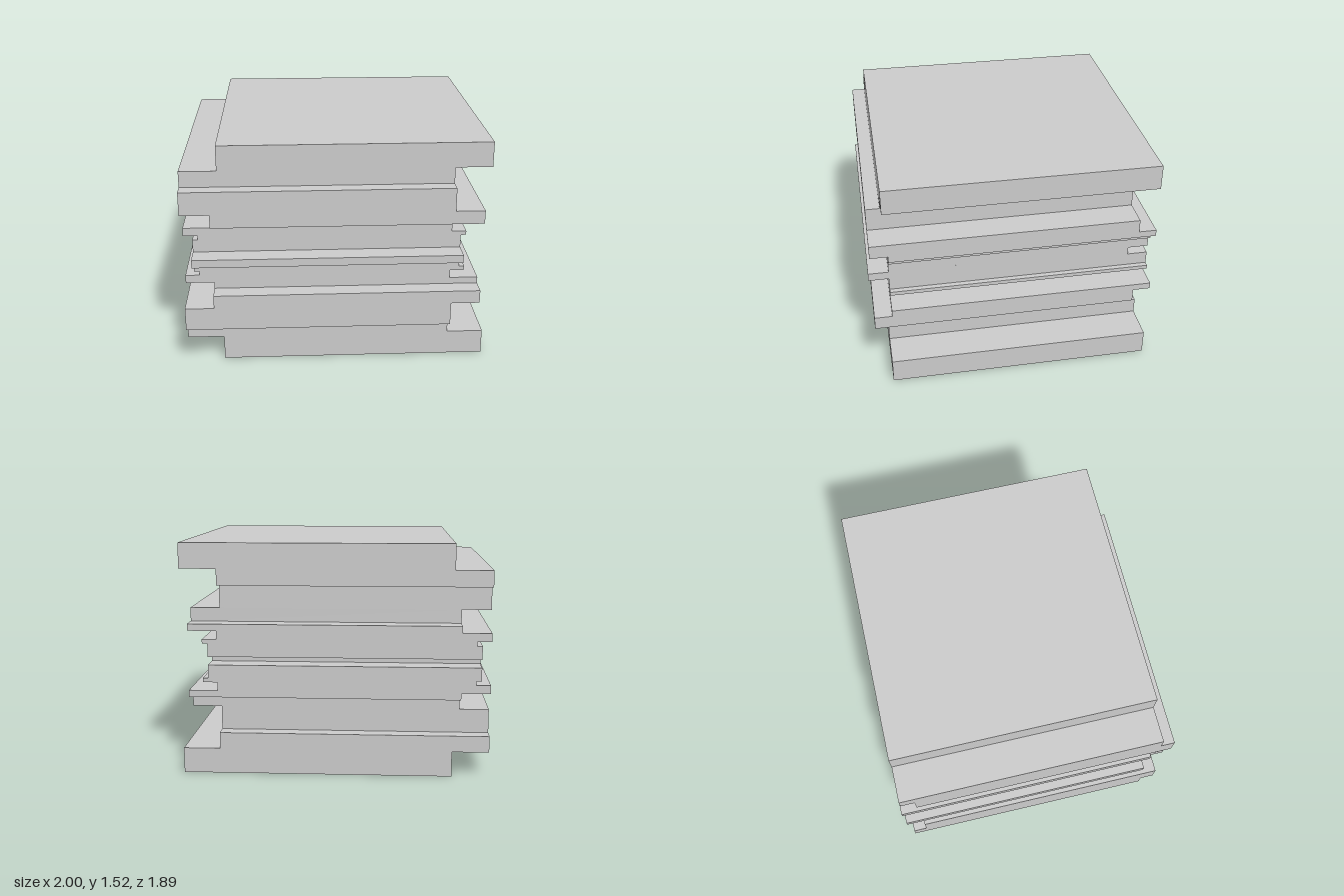
import * as THREE from 'three';

const HEIGHT = 1.516;
const WIDTH = 1.757; // every layer has the same square footprint, only shifted

// [top of band, centre offset]; lower half only, mirrored about mid height
const xBands = [[0.166, 0.119], [0.429, -0.121], [0.562, 0.069], [0.617, -0.118], [0.644, -0.024], [HEIGHT / 2, -0.059]];
const zBands = [[0.273, -0.04], [0.518, 0.053], [0.731, -0.064], [HEIGHT / 2, 0.07]];

const offsetAt = (bands, y) => bands.find(([top]) => Math.min(y, HEIGHT - y) < top)[1];

export function createModel() {
  const group = new THREE.Group();
  group.name = 'steppedBlock';
  const material = new THREE.MeshStandardMaterial({ color: 0xcccccc, flatShading: true });

  // Every height where the block shifts sideways or in depth
  const steps = [...xBands.slice(0, -1), ...zBands.slice(0, -1)].map(([top]) => top);
  const levels = [0, ...steps, ...steps.map((y) => HEIGHT - y), HEIGHT].sort((a, b) => a - b);

  // One shifted slab between each pair of levels
  for (let i = 0; i < levels.length - 1; i++) {
    const middle = (levels[i] + levels[i + 1]) / 2;
    const slab = new THREE.Mesh(new THREE.BoxGeometry(WIDTH, levels[i + 1] - levels[i], WIDTH), material);
    // the middle slab lies exactly on the mirror plane
    const y = Math.min(middle, HEIGHT / 2 - 0.001, HEIGHT - middle);
    slab.position.set(offsetAt(xBands, y), middle, offsetAt(zBands, y));
    slab.name = `slab${i + 1}`;
    group.add(slab);
  }
  return group;
}
